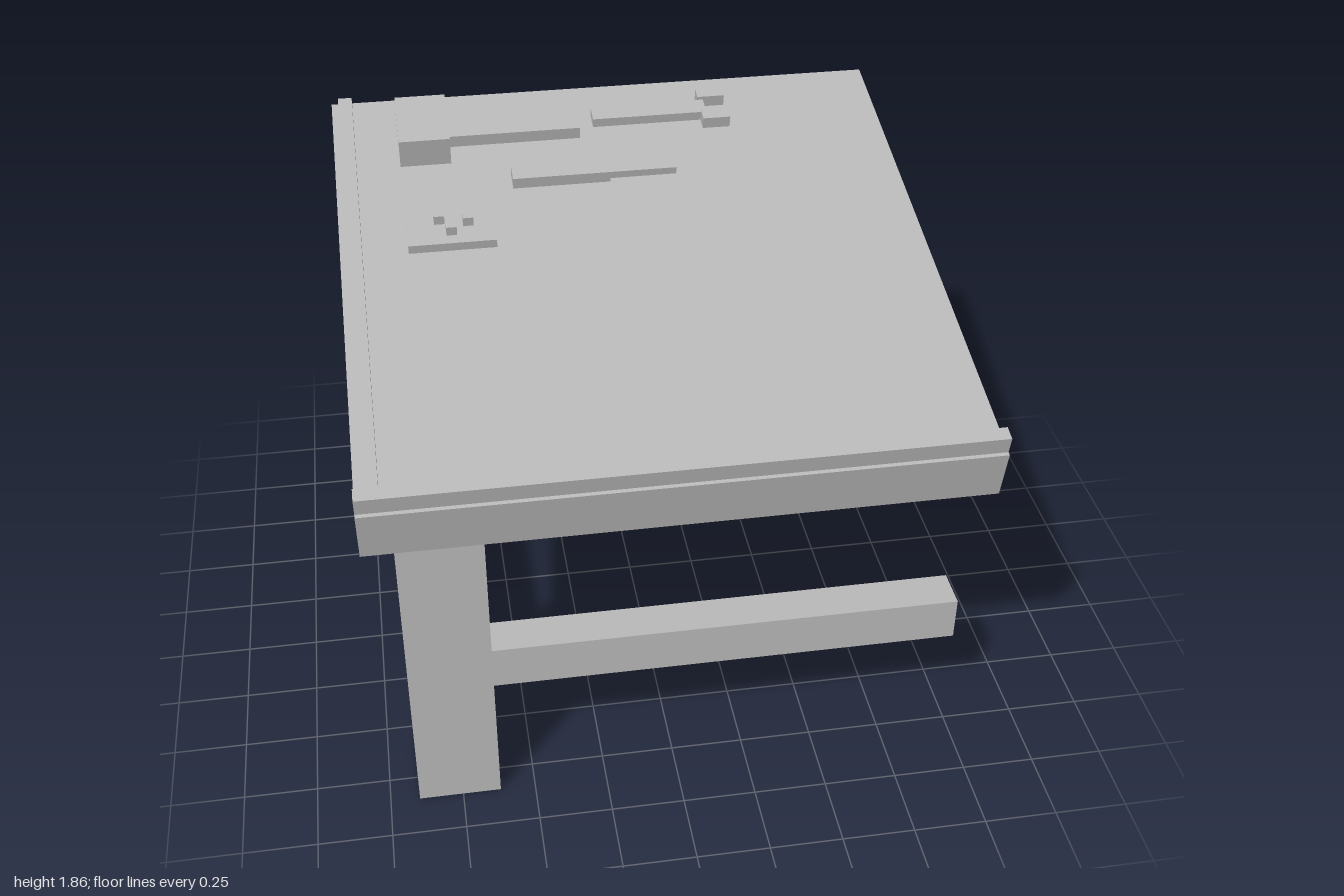
import * as THREE from 'three';

const grey = new THREE.MeshStandardMaterial({ color: 0xb8b8b8, side: THREE.DoubleSide });
grey.name = 'plain grey';

// Box given by its ranges on each axis; open = without the +x end
function box(parent, name, [x0, x1], [y0, y1], [z0, z1], open = false) {
  const geometry = new THREE.BoxGeometry(x1 - x0, y1 - y0, z1 - z0);
  if (open) {
    geometry.setIndex(Array.from(geometry.index.array).slice(6));
    geometry.clearGroups();
  }
  const mesh = new THREE.Mesh(geometry, grey);
  mesh.name = name;
  mesh.position.set((x0 + x1) / 2, (y0 + y1) / 2, (z0 + z1) / 2);
  parent.add(mesh);
  return mesh;
}

function group(parent, name) {
  const g = new THREE.Group();
  g.name = name;
  parent.add(g);
  return g;
}

export function createModel() {
  const model = new THREE.Group();
  model.name = 'slopedWorkbench';

  // Legs and lower rails
  const frame = group(model, 'frame');
  box(frame, 'frontLeg', [-0.9, -0.62], [0, 1.267], [0.57, 0.85]);
  box(frame, 'backLeg', [-0.9, -0.62], [0, 1.57], [-0.85, -0.57]);
  box(frame, 'sideRail', [-0.83, -0.69], [0.39, 0.55], [-0.57, 0.57]);
  box(frame, 'frontRail', [-0.62, 1], [0.39, 0.55], [0.6, 0.74], true);
  box(frame, 'backRail', [-0.62, 1], [0.39, 0.55], [-0.74, -0.6], true);

  // Sloped top: y = 0 is the working surface
  const top = group(model, 'slopedTop');
  top.position.set(0, 1.57, 0.0175);
  top.rotation.x = THREE.MathUtils.degToRad(12);
  box(top, 'tableSlab', [-1, 1], [-0.183, 0], [-0.989, 0.989], true);
  box(top, 'frontLedge', [-1, 1], [0, 0.061], [0.927, 0.976], true);
  box(top, 'sideStrip', [-0.975, -0.925], [0, 0.025], [-0.989, 0.927]);

  // Hammer
  const hammer = group(top, 'hammer');
  box(hammer, 'hammerHead', [-0.77, -0.59], [0, 0.11], [-0.86, -0.603]);
  box(hammer, 'hammerHandle', [-0.59, -0.115], [0, 0.046], [-0.763, -0.695]);

  // Wrench with two jaws
  const wrench = group(top, 'wrench');
  box(wrench, 'wrenchHandle', [-0.06, 0.36], [0, 0.035], [-0.825, -0.752]);
  box(wrench, 'wrenchBackJaw', [0.34, 0.44], [0, 0.044], [-0.877, -0.83]);
  box(wrench, 'wrenchFrontJaw', [0.34, 0.44], [0, 0.044], [-0.75, -0.702]);

  // Chisel
  const chisel = group(top, 'chisel');
  box(chisel, 'chiselHandle', [-0.385, -0.04], [0, 0.043], [-0.518, -0.44]);
  box(chisel, 'chiselBlade', [-0.04, 0.2], [0, 0.028], [-0.498, -0.458]);

  // Tray with loose pegs
  const tray = group(top, 'pegTray');
  box(tray, 'trayPlate', [-0.77, -0.47], [0, 0.033], [-0.325, -0.142]);
  for (const [x, z] of [[-0.658, -0.26], [-0.62, -0.2], [-0.56, -0.242]]) {
    box(tray, 'peg', [x - 0.018, x + 0.018], [0.033, 0.068], [z - 0.018, z + 0.018]);
  }

  return model;
}
